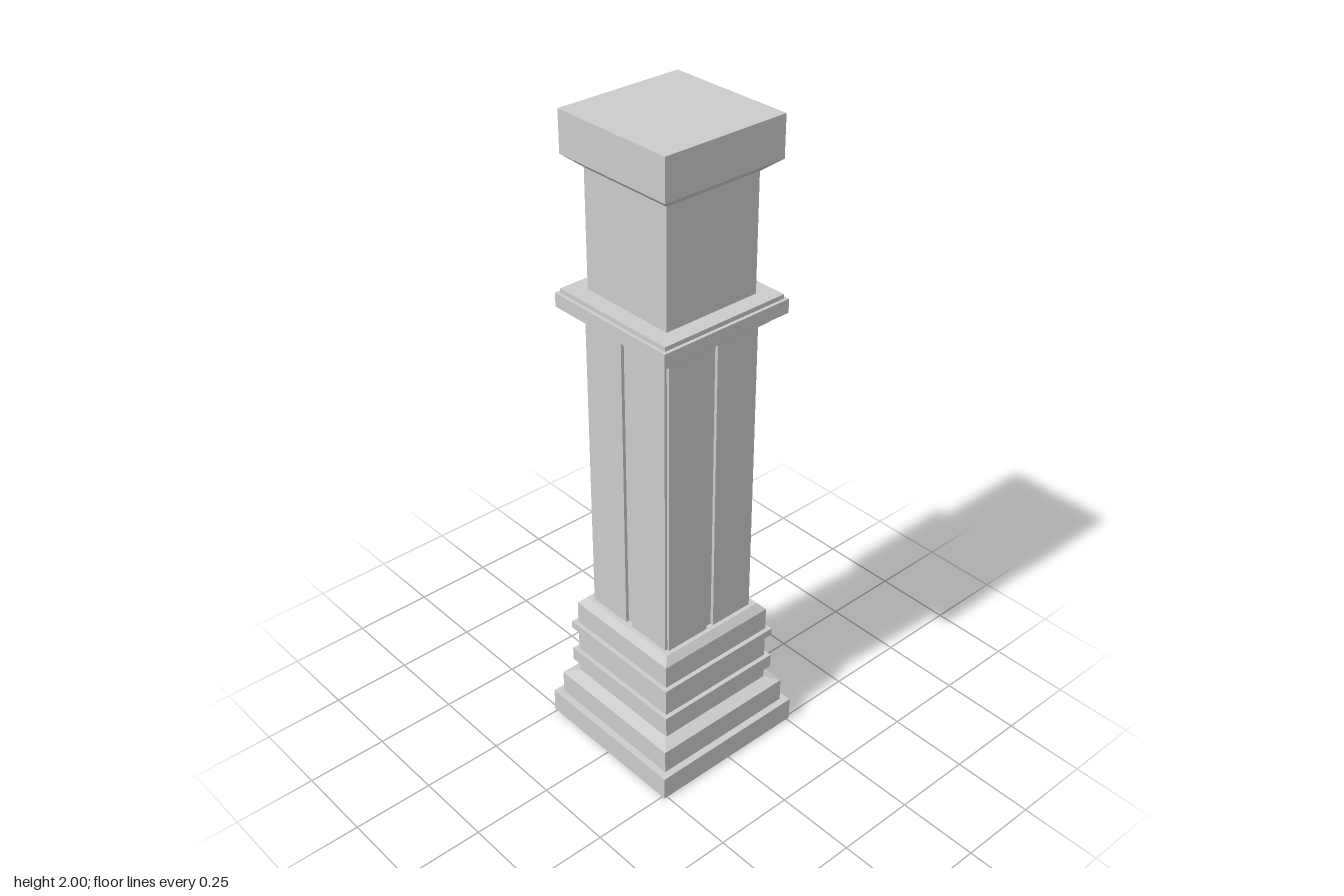
import * as THREE from 'three';

const material = new THREE.MeshStandardMaterial({ color: 0xcccccc });

// Square moulding from a profile of [half width, height], bottom to top
function squareMoulding(name, profile) {
  const points = profile.map(([half, y]) => new THREE.Vector2(half * Math.SQRT2, y));
  const geometry = new THREE.LatheGeometry(points, 4, Math.PI / 4).toNonIndexed();
  geometry.computeVertexNormals();
  const mesh = new THREE.Mesh(geometry, material);
  mesh.name = name;
  return mesh;
}

// Square shaft with notched corners and a groove down the middle of each face
function groovedShaft(half, bottom, top) {
  const notch = 0.008, groove = 0.013, depth = 0.01;
  const side = [
    [half - notch, -half + notch], [half, -half + notch],
    [half, -groove], [half - depth, -groove],
    [half - depth, groove], [half, groove],
    [half, half - notch],
  ];
  const outline = [];
  for (let i = 0; i < 4; i++) {
    for (const [x, y] of side) {
      outline.push(new THREE.Vector2(x, y).rotateAround(new THREE.Vector2(), i * Math.PI / 2));
    }
  }
  const geometry = new THREE.ExtrudeGeometry(new THREE.Shape(outline), {
    depth: top - bottom, bevelEnabled: false,
  });
  geometry.rotateX(-Math.PI / 2);
  const mesh = new THREE.Mesh(geometry, material);
  mesh.position.y = bottom;
  mesh.name = 'shaft';
  return mesh;
}

export function createModel() {
  const column = new THREE.Group();
  column.name = 'column';

  // Stepped plinth with a sloped upper edge
  column.add(squareMoulding('plinth', [
    [0, 0], [0.26, 0], [0.26, 0.077], [0.238, 0.077],
    [0.238, 0.154], [0.2, 0.168], [0, 0.168],
  ]));

  // Pedestal with two projecting bands
  column.add(squareMoulding('pedestal', [
    [0.2, 0.16], [0.2, 0.21], [0.214, 0.21], [0.214, 0.255],
    [0.2, 0.255], [0.2, 0.335], [0.214, 0.335], [0.214, 0.36],
    [0.2, 0.36], [0.2, 0.433], [0.18, 0.455], [0, 0.455],
  ]));

  column.add(groovedShaft(0.167, 0.45, 1.42));

  // Collar with a sloped underside
  column.add(squareMoulding('collar', [
    [0, 1.412], [0.182, 1.412], [0.205, 1.438], [0.219, 1.443],
    [0.219, 1.485], [0.209, 1.485], [0.209, 1.498], [0, 1.498],
  ]));

  // Neck flaring into the cap block
  column.add(squareMoulding('neckAndCap', [
    [0.157, 1.49], [0.157, 1.845], [0.2, 1.88], [0.2, 2], [0, 2],
  ]));

  return column;
}
